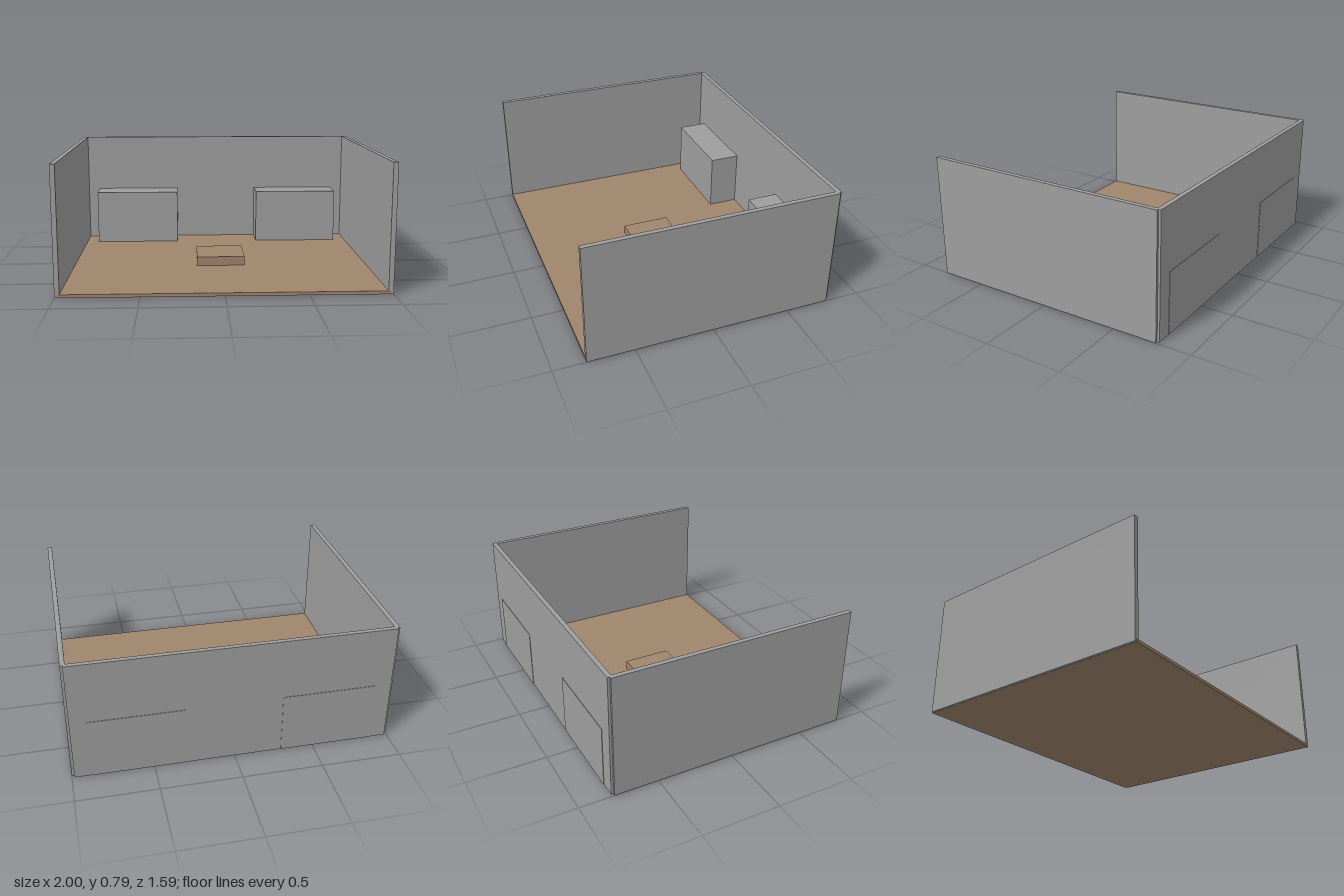
import * as THREE from 'three';

export function createModel() {
  const model = new THREE.Group();
  model.name = 'openRoom';
  const grey = new THREE.MeshStandardMaterial({ color: 0x9e9e9e });
  grey.name = 'wallGrey';
  const brown = new THREE.MeshStandardMaterial({ color: 0xa0856c });
  brown.name = 'floorBrown';

  // Box given by its minimum and maximum corners
  function addBox(name, material, [x0, y0, z0], [x1, y1, z1]) {
    const mesh = new THREE.Mesh(new THREE.BoxGeometry(x1 - x0, y1 - y0, z1 - z0), material);
    mesh.position.set((x0 + x1) / 2, (y0 + y1) / 2, (z0 + z1) / 2);
    mesh.name = name;
    model.add(mesh);
  }

  // Floor slab and low central platform
  addBox('floor', brown, [-0.985, 0, -0.779], [0.985, 0.02, 0.797]);
  addBox('platform', brown, [-0.158, 0.01, -0.15], [0.158, 0.079, 0.166]);

  // Back wall
  addBox('backWall', grey, [-0.985, 0.001, -0.794], [0.985, 0.788, -0.765]);

  // Side walls, and cabinets set slightly through the back wall
  for (const [side, s] of [['left', 1], ['right', -1]]) {
    const span = (a, b) => (s > 0 ? [a, b] : [-b, -a]);
    const [w0, w1] = span(0.97, 1);
    addBox(side + 'Wall', grey, [w0, 0.001, -0.779], [w1, 0.788, 0.796]);
    const [c0, c1] = span(0.295, 0.886);
    addBox(side + 'Cabinet', grey, [c0, 0.002, -0.797], [c1, 0.394, -0.565]);
  }
  return model;
}
